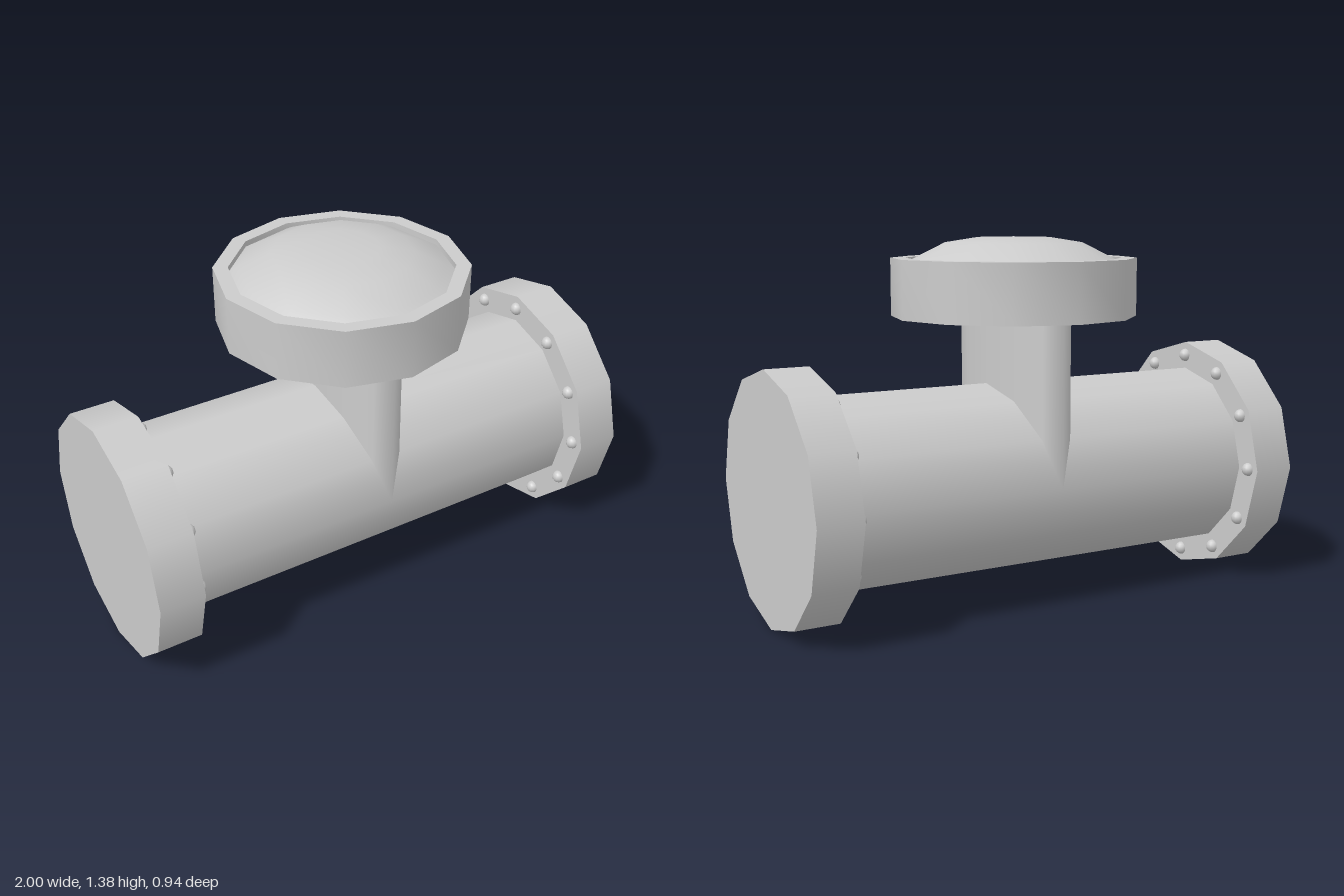
import * as THREE from 'three';
import { toCreasedNormals } from 'three/addons/utils/BufferGeometryUtils.js';

const SIDES = 12;
const AXIS_Y = 0.468; // height of the pipe axis, equal to the flange radius

export function createModel() {
  const model = new THREE.Group();
  const material = new THREE.MeshStandardMaterial({ color: 0xcccccc });

  const add = (name, geometry, x = 0, y = 0, z = 0, parent = model) => {
    const mesh = new THREE.Mesh(geometry, material);
    mesh.name = name;
    mesh.position.set(x, y, z);
    parent.add(mesh);
    return mesh;
  };
  const lathe = (points) => toCreasedNormals(
    new THREE.LatheGeometry(points.map(([r, y]) => new THREE.Vector2(r, y)), SIDES), 0.6);

  // Horizontal pipe
  const pipe = new THREE.CylinderGeometry(0.36, 0.36, 1.7, SIDES, 1, true).rotateZ(Math.PI / 2);
  add('pipe', pipe, 0, AXIS_Y, 0);

  // End flanges, each with a ring of bolts on the inner face
  const flange = new THREE.CylinderGeometry(0.468, 0.468, 0.17, SIDES).rotateZ(Math.PI / 2);
  const bolt = new THREE.SphereGeometry(0.026, 12, 8);
  for (const side of [-1, 1]) {
    const end = new THREE.Group();
    end.name = side > 0 ? 'leftEnd' : 'rightEnd';
    add('flange', flange, side * 0.915, AXIS_Y, 0, end);
    for (let i = 0; i < SIDES; i++) {
      const a = (i / SIDES) * Math.PI * 2;
      add('bolt', bolt, side * 0.83, AXIS_Y + 0.414 * Math.cos(a), 0.414 * Math.sin(a), end);
    }
    model.add(end);
  }

  // Flattened neck rising out of the pipe
  const neck = new THREE.CylinderGeometry(0.36, 0.36, 0.64, SIDES, 1, true).scale(0.333, 1, 1);
  add('neck', neck, 0, 0.78, 0);

  // Cap with a raised rim
  add('capRim', lathe([[0, 1.08], [0.468, 1.08], [0.468, 1.3], [0.412, 1.3], [0.412, 1.27]]));

  // Shallow dome set inside the rim
  add('capDome', lathe([[0.412, 1.278], [0.375, 1.3], [0.26, 1.358], [0.14, 1.377], [0, 1.38]]));

  return model;
}
